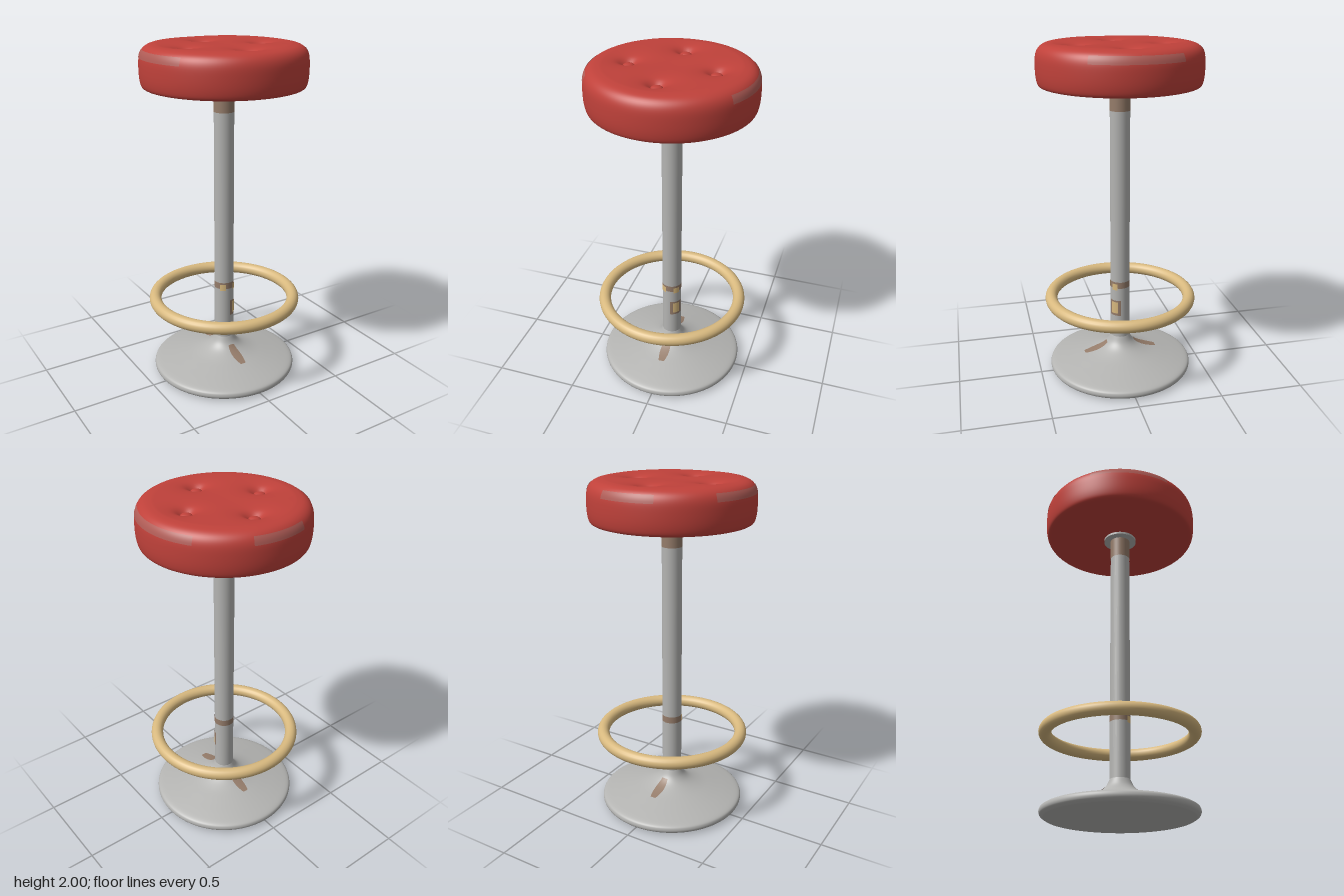
import * as THREE from 'three';
import { mergeVertices } from 'three/addons/utils/BufferGeometryUtils.js';

const paint = (name, color) => {
  const m = new THREE.MeshStandardMaterial({ color, side: THREE.DoubleSide });
  m.name = name;
  return m;
};

export function createModel() {
  const red = paint('red leather', 0xbf413a);
  const worn = paint('worn leather', 0xb05c56);
  const steel = paint('grey steel', 0xb4b4b2);
  const brass = paint('brass', 0xd8b97f);
  const rust = paint('brown rust', 0x957c6a);

  const group = new THREE.Group();
  const add = (name, geometry, material, x = 0, y = 0, z = 0) => {
    const mesh = new THREE.Mesh(geometry, material);
    mesh.name = name;
    mesh.position.set(x, y, z);
    group.add(mesh);
    return mesh;
  };
  const v2 = (list) => list.map(([x, y]) => new THREE.Vector2(x, y));

  // Seat cushion: a rounded disc, pressed in around four buttons
  const tufts = [[0.24, 0], [-0.24, 0], [0, 0.245], [0, -0.245]];
  const side = new THREE.SplineCurve(v2([
    [0.43, 1.76], [0.454, 1.77], [0.465, 1.81], [0.468, 1.87], [0.464, 1.93],
    [0.447, 1.968], [0.415, 1.99], [0.37, 1.998],
  ])).getPoints(32);
  const profile = v2([[0, 1.763], [0.2, 1.762], [0.42, 1.76]]).concat(side);
  for (let i = 1; i <= 36; i++) profile.push(new THREE.Vector2(0.37 * (1 - i / 36), 1.998));
  let seat = new THREE.LatheGeometry(profile, 120);
  const p = seat.attributes.position;
  for (let i = 0; i < p.count; i++) {
    const x = p.getX(i), y = p.getY(i), z = p.getZ(i);
    if (y < 1.985) continue;
    const r = Math.hypot(x, z);
    let drop = 0.008 * Math.exp(-((r / 0.16) ** 2));
    for (const [tx, tz] of tufts) {
      const d = Math.hypot(x - tx, z - tz);
      drop += 0.036 * Math.exp(-((d / 0.042) ** 2)) + 0.018 * Math.exp(-((d / 0.1) ** 2));
    }
    p.setY(i, y - drop);
  }
  seat.deleteAttribute('uv');
  seat.deleteAttribute('normal');
  seat = mergeVertices(seat, 1e-4);
  seat.computeVertexNormals();
  add('seatCushion', seat, red);
  for (const [x, z] of tufts) {
    add('seatButton', new THREE.SphereGeometry(0.033, 20, 12), red, x, 1.955, z).scale.y = 0.5;
  }

  // Worn strips on the seat shoulder
  const strip = side.filter((q) => q.y > 1.925 && q.y < 1.972)
    .map((q) => new THREE.Vector2(q.x + 0.0015, q.y + 0.0015));
  for (const [angle, span] of [[90, 66], [180, 40], [270, 60]]) {
    add('wornStrip', new THREE.LatheGeometry(strip, 24,
      THREE.MathUtils.degToRad(angle - span / 2), THREE.MathUtils.degToRad(span)), worn);
  }

  // Column and the flange under the seat
  add('column', new THREE.CylinderGeometry(0.058, 0.058, 1.61, 40, 1, true), steel, 0, 0.965, 0);
  add('seatFlange', new THREE.CylinderGeometry(0.1, 0.1, 0.016, 40), steel, 0, 1.757, 0);

  // Thin patches wrapped round the column
  const wrap = (name, material, y0, y1, centre, span, lift) =>
    add(name, new THREE.CylinderGeometry(0.058 + lift, 0.058 + lift, y1 - y0, 40, 1, true,
      THREE.MathUtils.degToRad(centre - span / 2), THREE.MathUtils.degToRad(span)),
    material, 0, (y0 + y1) / 2, 0);
  wrap('upperRust', rust, 1.62, 1.755, 0, 360, 0.0015);
  wrap('rustBand', rust, 0.542, 0.582, 0, 360, 0.0015);
  wrap('rustPatch', rust, 0.36, 0.46, 45, 76, 0.0015);
  wrap('brassPatch', brass, 0.375, 0.45, 45, 42, 0.003);
  for (const a of [-38, 45]) wrap('brassFleck', brass, 0.53, 0.57, a, 34, 0.003);

  // Floating foot ring
  const ring = new THREE.TorusGeometry(0.42, 0.036, 20, 96);
  ring.rotateX(Math.PI / 2);
  add('footRing', ring, brass, 0, 0.476, 0);

  // Flared base with a stepped underside
  const flare = new THREE.SplineCurve(v2([
    [0.41, 0.004], [0.43, 0.018], [0.434, 0.038], [0.42, 0.056], [0.36, 0.073],
    [0.27, 0.094], [0.18, 0.116], [0.115, 0.142], [0.078, 0.174], [0.058, 0.215],
  ])).getPoints(45);
  const under = v2([
    [0, 0.034], [0.03, 0.034], [0.045, 0.024], [0.14, 0.022], [0.155, 0.012],
    [0.17, 0.022], [0.28, 0.018], [0.295, 0.006], [0.315, 0.012], [0.39, 0],
  ]);
  add('base', new THREE.LatheGeometry(under.concat(flare), 96), steel);

  // Rust streaks running down the flare, front and back
  const heightAt = (r) => {
    const i = flare.findIndex((q, k) => k > 12 && q.x <= r);
    const a = flare[i - 1], b = flare[i];
    return a.y + (b.y - a.y) * (a.x - r) / (a.x - b.x);
  };
  for (const turn of [0, Math.PI]) {
    const streak = new THREE.PlaneGeometry(1, 1, 8, 16);
    const s = streak.attributes.position;
    for (let i = 0; i < s.count; i++) {
      const t = 0.5 - s.getY(i);
      const x = s.getX(i) * (0.03 + 0.028 * Math.sin(Math.PI * Math.min(1, t * 0.85 + 0.1)));
      const z = 0.085 + 0.14 * t;
      s.setXYZ(i, x, heightAt(Math.hypot(x, z)) + 0.003, z);
    }
    streak.computeVertexNormals();
    add('rustStreak', streak, rust).rotation.y = turn;
  }
  return group;
}
